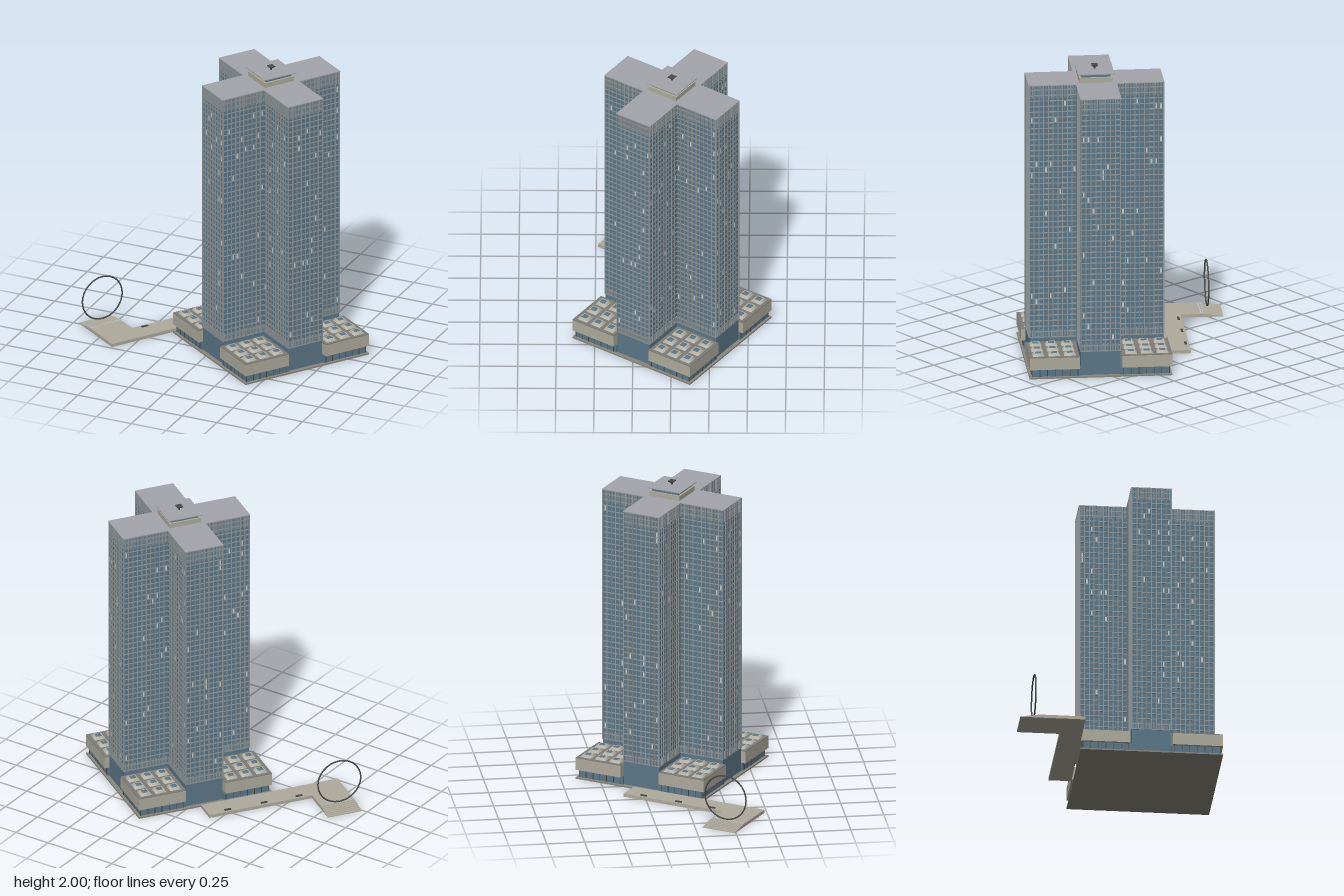
import * as THREE from 'three';
import { mergeGeometries } from 'three/addons/utils/BufferGeometryUtils.js';

const mat = (color) => new THREE.MeshStandardMaterial({ color });
const GLASS = mat(0x5b7788), FRAME = mat(0x90979a), STONE = mat(0xaeaa9c), ROOF = mat(0x7b7b77);
const TOP = mat(0xa2a5aa), DARK = mat(0x4a4c4c), PANE = mat(0xc4cfd4), GROUND = mat(0x8a877b);

const ARM = 0.439, HALF = 0.128;          // tower arm reach and half width
const TOWER_BASE = 0.17, TOWER_TOP = 1.91;
const SLAB = 0.467;                        // podium half width

// Box given by its centre in plan, bottom and top height
function box(w, d, x, z, y0, y1) {
  return new THREE.BoxGeometry(w, y1 - y0, d).translate(x, (y0 + y1) / 2, z);
}

// Flat plan outline (x, z) raised from y0 to y1
function prism(points, y0, y1) {
  const shape = new THREE.Shape(points.map(([x, z]) => new THREE.Vector2(x, z)));
  return new THREE.ExtrudeGeometry(shape, { depth: y1 - y0, bevelEnabled: false })
    .rotateX(Math.PI / 2).translate(0, y1, 0);
}

// Plus-shaped plan, grown outwards by g
function crossPlan(g = 0) {
  const a = ARM + g, h = HALF + g;
  return [[a, -h], [a, h], [h, h], [h, a], [-h, a], [-h, h],
    [-a, h], [-a, -h], [-h, -h], [-h, -a], [h, -a], [h, -h]];
}

// Four copies turned about the centre
function fourfold(list) {
  return [0, 1, 2, 3].flatMap((k) => list.map((g) => g.clone().rotateY(k * Math.PI / 2)));
}

// Square frustum with sides parallel to the axes
function frustum(top, bottom, h, open = false) {
  return new THREE.CylinderGeometry(top * Math.SQRT2, bottom * Math.SQRT2, h, 4, 1, open)
    .toNonIndexed().rotateY(Math.PI / 4);
}

function add(parent, name, geometry, material) {
  const geo = Array.isArray(geometry) ? mergeGeometries(geometry) : geometry;
  const mesh = new THREE.Mesh(geo, material);
  mesh.name = name;
  parent.add(mesh);
}

function makeTower() {
  const g = new THREE.Group();
  g.name = 'tower';
  add(g, 'towerGlass', prism(crossPlan(), 0.01, TOWER_TOP - 0.004), GLASS);
  add(g, 'towerRoof', prism(crossPlan(0.006), TOWER_TOP - 0.006, TOWER_TOP), TOP);

  // Vertical fins on the end and both flanks of each arm
  const fins = [];
  const finSet = (endBays, sideBays, t, p, y0, y1) => {
    for (let i = 0; i <= endBays; i++) {
      fins.push(box(p, t, ARM + p / 2, -HALF + (2 * HALF * i) / endBays, y0, y1));
    }
    for (let i = 1; i <= sideBays; i++) {
      const x = HALF + ((ARM - HALF) * i) / sideBays;
      for (const s of [-1, 1]) fins.push(box(t, p, x, s * (HALF + p / 2), y0, y1));
    }
  };
  finSet(8, 10, 0.006, 0.006, TOWER_BASE, TOWER_TOP - 0.006);
  // Closer louvres on the plant floors
  finSet(24, 30, 0.004, 0.004, 1.82, TOWER_TOP - 0.006);
  finSet(24, 30, 0.004, 0.004, TOWER_BASE, 0.225);
  add(g, 'facadeFins', fourfold(fins), FRAME);

  // Floor bands
  const bands = [], floors = 46;
  const step = (TOWER_TOP - TOWER_BASE) / floors;
  for (let i = 0; i < floors; i++) {
    const y = TOWER_BASE + i * step;
    bands.push(prism(crossPlan(0.003), y, y + 0.007));
  }
  add(g, 'floorBands', bands, FRAME);

  // Scattered pale panes
  let seed = 7;
  const rand = () => (seed = (seed * 16807) % 2147483647) / 2147483647;
  const panes = [];
  for (let k = 0; k < 4; k++) {
    for (let i = 0; i < 48; i++) {
      const y0 = TOWER_BASE + step * (2 + Math.floor(rand() * (floors - 5))) + 0.007;
      const y1 = y0 + step - 0.007;
      const f = i % 3, bay = Math.floor(rand() * (f ? 10 : 8)) + 0.5;
      const pane = f === 0
        ? box(0.003, 0.011, ARM, -HALF + 2 * HALF * bay / 8, y0, y1)
        : box(0.011, 0.003, HALF + (ARM - HALF) * bay / 10, (f === 1 ? 1 : -1) * HALF, y0, y1);
      panes.push(pane.rotateY(k * Math.PI / 2));
    }
  }
  add(g, 'palePanes', panes, PANE);

  // Rooftop plant room, canopy and mast
  add(g, 'plantRoom', box(0.22, 0.22, 0, 0, TOWER_TOP, 1.943), STONE);
  add(g, 'plantRoomGlass', box(0.194, 0.194, 0, 0, 1.943, 1.965), GLASS);
  add(g, 'canopy', box(0.24, 0.24, 0, 0, 1.965, 1.971), TOP);
  add(g, 'mast', new THREE.CylinderGeometry(0.006, 0.006, 0.024, 8).translate(0, 1.98, 0), DARK);
  add(g, 'mastHead', [frustum(0.02, 0.008, 0.01).translate(0, 1.989, 0),
    box(0.04, 0.04, 0, 0, 1.994, 2).toNonIndexed()], DARK);
  return g;
}

function makePodium() {
  const g = new THREE.Group();
  g.name = 'podium';
  add(g, 'baseSlab', box(2 * SLAB, 2 * SLAB, 0, 0, 0, 0.01), GROUND);

  // One corner pavilion, repeated four times
  const inner = 0.139, mid = (inner + SLAB) / 2, size = SLAB - inner;
  const glassSize = 0.449 - 0.13, glassMid = (0.449 + 0.13) / 2;
  add(g, 'pavilionGlass', fourfold([box(glassSize, glassSize, glassMid, glassMid, 0.01, 0.065)]), GLASS);
  const posts = [];
  for (let i = 0; i <= 6; i++) {
    const t = 0.15 + (0.299 * i) / 6;
    posts.push(box(0.004, 0.004, t, 0.45, 0.01, 0.065), box(0.004, 0.004, 0.45, t, 0.01, 0.065));
  }
  add(g, 'pavilionPosts', fourfold(posts), DARK);
  add(g, 'pavilionCornice', fourfold([box(size, size, mid, mid, 0.062, 0.143)]), STONE);
  add(g, 'pavilionRoof', fourfold([box(size, size, mid, mid, 0.143, 0.147)]), ROOF);

  // Skylights: sloping kerb, inward slope and pyramid of glass
  const kerbs = [], lights = [];
  for (let i = -1; i <= 1; i++) {
    for (let j = -1; j <= 1; j++) {
      const x = mid + i * 0.103, z = mid + j * 0.103;
      kerbs.push(frustum(0.027, 0.038, 0.015).translate(x, 0.1545, z));
      lights.push(frustum(0.002, 0.02, 0.005).translate(x, 0.1645, z));
    }
  }
  add(g, 'skylightKerbs', fourfold(kerbs), mat(0xb9b6a8));
  add(g, 'skylightGlass', fourfold(lights), GLASS);
  return g;
}

function makePlaza() {
  const g = new THREE.Group();
  g.name = 'plaza';
  const z0 = 0.683, z1 = 0.921, landing = -0.79, end = -0.907;
  add(g, 'walkway', prism([[-0.627, -0.036], [-0.479, -0.036], [-0.479, z1],
    [landing, z1], [landing, z0], [-0.627, z0]], 0, 0.022), STONE);

  // Steps down to the street
  const n = 6, run = (landing - end) / n, steps = [];
  for (let i = 0; i < n; i++) {
    steps.push(box(run, z1 - z0, landing - run * (i + 0.5), (z0 + z1) / 2, 0, 0.022 - 0.003 * (i + 1)));
  }
  add(g, 'steps', steps, STONE);

  // Rows of studs before the steps
  const studs = [];
  for (const x of [-0.76, -0.775]) {
    for (let i = 0; i < 16; i++) studs.push(box(0.005, 0.008, x, z0 + 0.012 + i * 0.0143, 0.022, 0.024));
  }
  add(g, 'studs', studs, PANE);
  add(g, 'benches', [0.1, 0.355, 0.6].map((z) => box(0.014, 0.045, -0.605, z, 0.02, 0.029)), DARK);

  // Upright ring
  add(g, 'ringSculpture', new THREE.TorusGeometry(0.15, 0.005, 10, 64)
    .rotateY(Math.PI / 2).translate(-0.808, 0.197, 0.802), DARK);
  return g;
}

export function createModel() {
  const model = new THREE.Group();
  model.name = 'towerComplex';
  const site = new THREE.Group();
  site.name = 'site';
  site.add(makeTower(), makePodium(), makePlaza());
  site.rotation.y = -0.602;
  site.position.set(0.305, 0, -0.003);
  model.add(site);
  return model;
}
